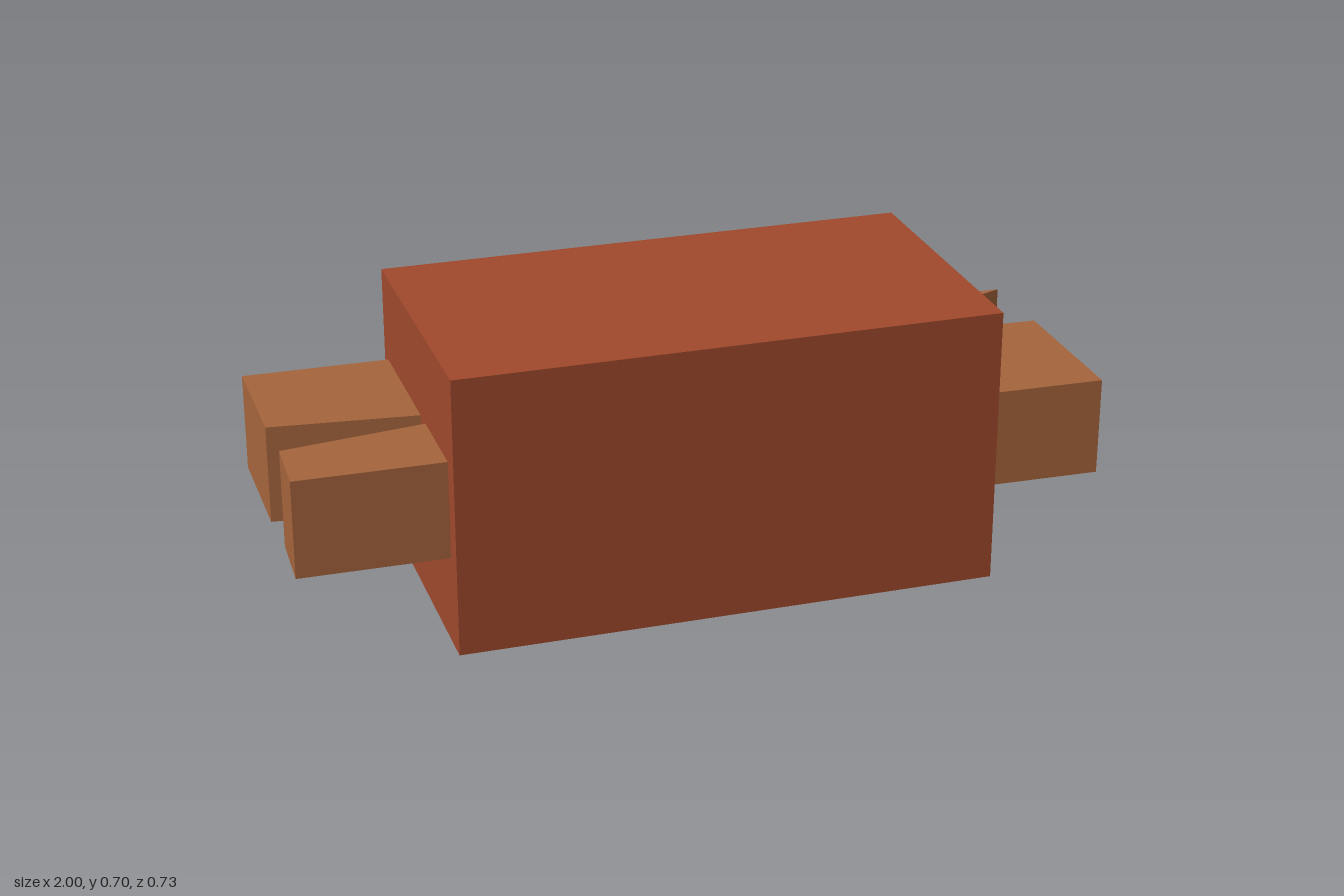
import * as THREE from 'three';

export function createModel() {
  const model = new THREE.Group();
  const bodyMaterial = new THREE.MeshStandardMaterial({ color: 0xa0492d, flatShading: true });
  const tabMaterial = new THREE.MeshStandardMaterial({ color: 0xa5643c, flatShading: true });

  // Upright prism from a plan outline of [x, z] corners
  function addPrism(name, outline, bottom, top, material) {
    const shape = new THREE.Shape(outline.map(([x, z]) => new THREE.Vector2(x, -z)));
    const geometry = new THREE.ExtrudeGeometry(shape, { depth: top - bottom, bevelEnabled: false });
    geometry.rotateX(-Math.PI / 2).translate(0, bottom, 0);
    const mesh = new THREE.Mesh(geometry, material);
    mesh.name = name;
    model.add(mesh);
  }

  // Main block
  const right = -0.635, left = 0.712, depth = 0.363;
  addPrism('body', [[right, depth], [left, depth], [left, -depth], [right, -depth]], 0, 0.702, bodyMaterial);

  // Tapered tabs on both ends, all at the same height
  const tabs = {
    leftFrontTab: [[left, 0.32], [1, 0.328], [1, -0.077], [left, -0.089]],
    leftBackTab: [[left, -0.19], [0.998, -0.306], [left, -0.309]],
    rightFrontTab: [[-1, 0.304], [right, 0.308], [right, 0.083], [-0.993, 0.132]],
    rightBackTab: [[-1, -0.008], [right, 0.032], [right, -0.324], [-1, -0.329]],
  };
  for (const [name, outline] of Object.entries(tabs)) addPrism(name, outline, 0.229, 0.476, tabMaterial);

  return model;
}
